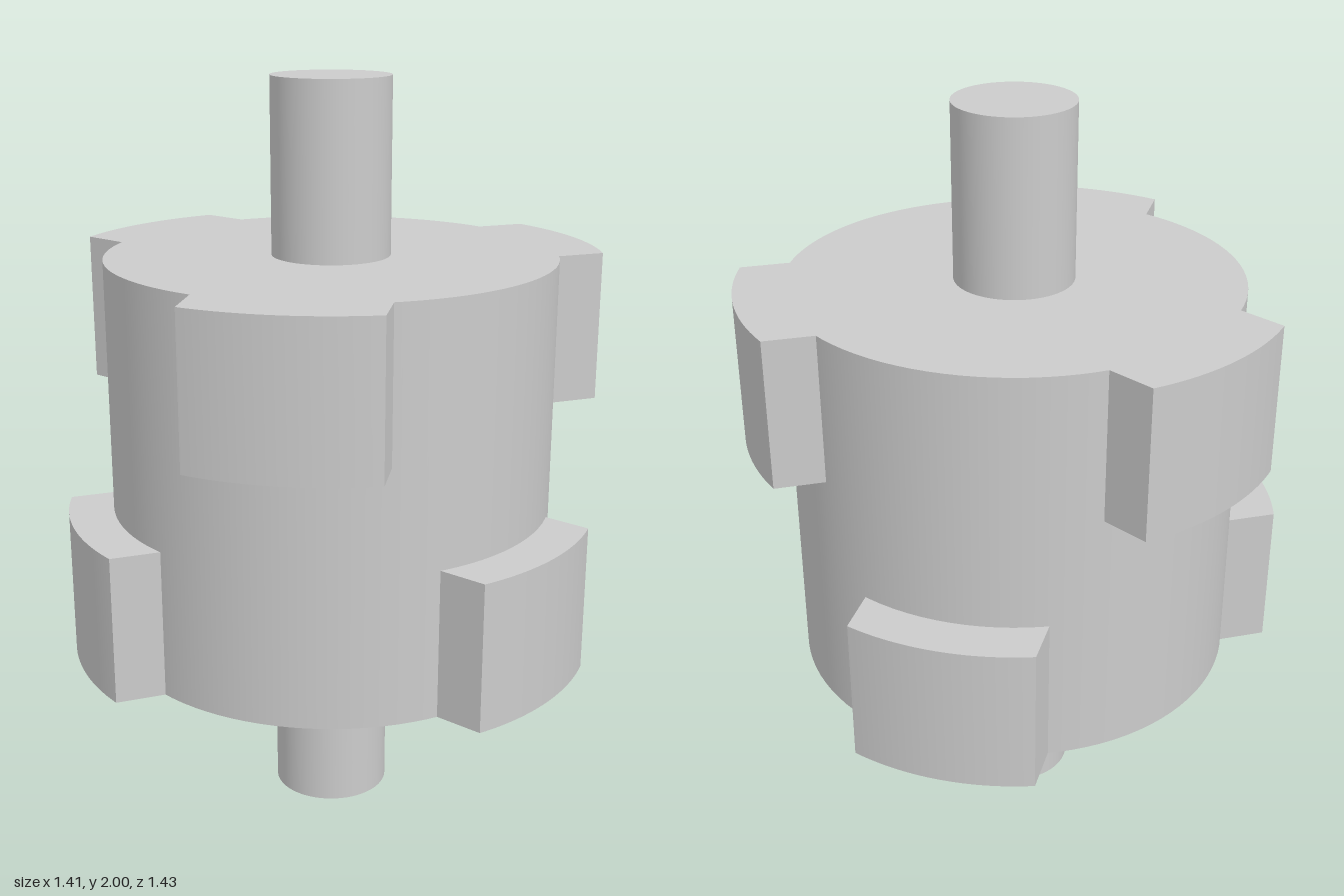
import * as THREE from 'three';
import { toCreasedNormals } from 'three/addons/utils/BufferGeometryUtils.js';

const SHAFT_R = 0.157, BODY_R = 0.596, LUG_R = 0.717;
const LUG_HALF_WIDTH = 0.239, LUG_HEIGHT = 0.398;
const BODY_BOTTOM = 0.464, BODY_TOP = 1.54;

const material = new THREE.MeshStandardMaterial({ color: 0xcccccc });

function addMesh(parent, name, geometry, y) {
  const mesh = new THREE.Mesh(geometry, material);
  mesh.name = name;
  mesh.position.y = y;
  parent.add(mesh);
  return mesh;
}

// Parallel-sided lug with curved inner and outer faces, pointing to -z
function lugGeometry() {
  const inner = BODY_R - 0.004;
  const outerAngle = Math.acos(LUG_HALF_WIDTH / LUG_R);
  const innerAngle = Math.acos(LUG_HALF_WIDTH / inner);
  const shape = new THREE.Shape();
  shape.absarc(0, 0, LUG_R, outerAngle, Math.PI - outerAngle, false);
  shape.absarc(0, 0, inner, Math.PI - innerAngle, innerAngle, true);
  shape.closePath();
  const geometry = new THREE.ExtrudeGeometry(shape, {
    depth: LUG_HEIGHT, bevelEnabled: false, curveSegments: 16,
  });
  geometry.rotateX(-Math.PI / 2);
  return toCreasedNormals(geometry, Math.PI / 6);
}

export function createModel() {
  const model = new THREE.Group();
  model.name = 'luggedRotor';

  // Shaft through the full height, and the drum around it
  addMesh(model, 'shaft', new THREE.CylinderGeometry(SHAFT_R, SHAFT_R, 2, 64), 1);
  const bodyHeight = BODY_TOP - BODY_BOTTOM;
  addMesh(model, 'drum', new THREE.CylinderGeometry(BODY_R, BODY_R, bodyHeight, 96),
    BODY_BOTTOM + bodyHeight / 2);

  // Two rings of three lugs, the lower ring turned half a step
  const lug = lugGeometry();
  const rings = [
    { name: 'upperLug', y: BODY_TOP - LUG_HEIGHT, turn: 0 },
    { name: 'lowerLug', y: BODY_BOTTOM, turn: Math.PI },
  ];
  for (const ring of rings) {
    for (let i = 0; i < 3; i++) {
      addMesh(model, ring.name + (i + 1), lug, ring.y).rotation.y = ring.turn + (i * 2 * Math.PI) / 3;
    }
  }
  return model;
}
